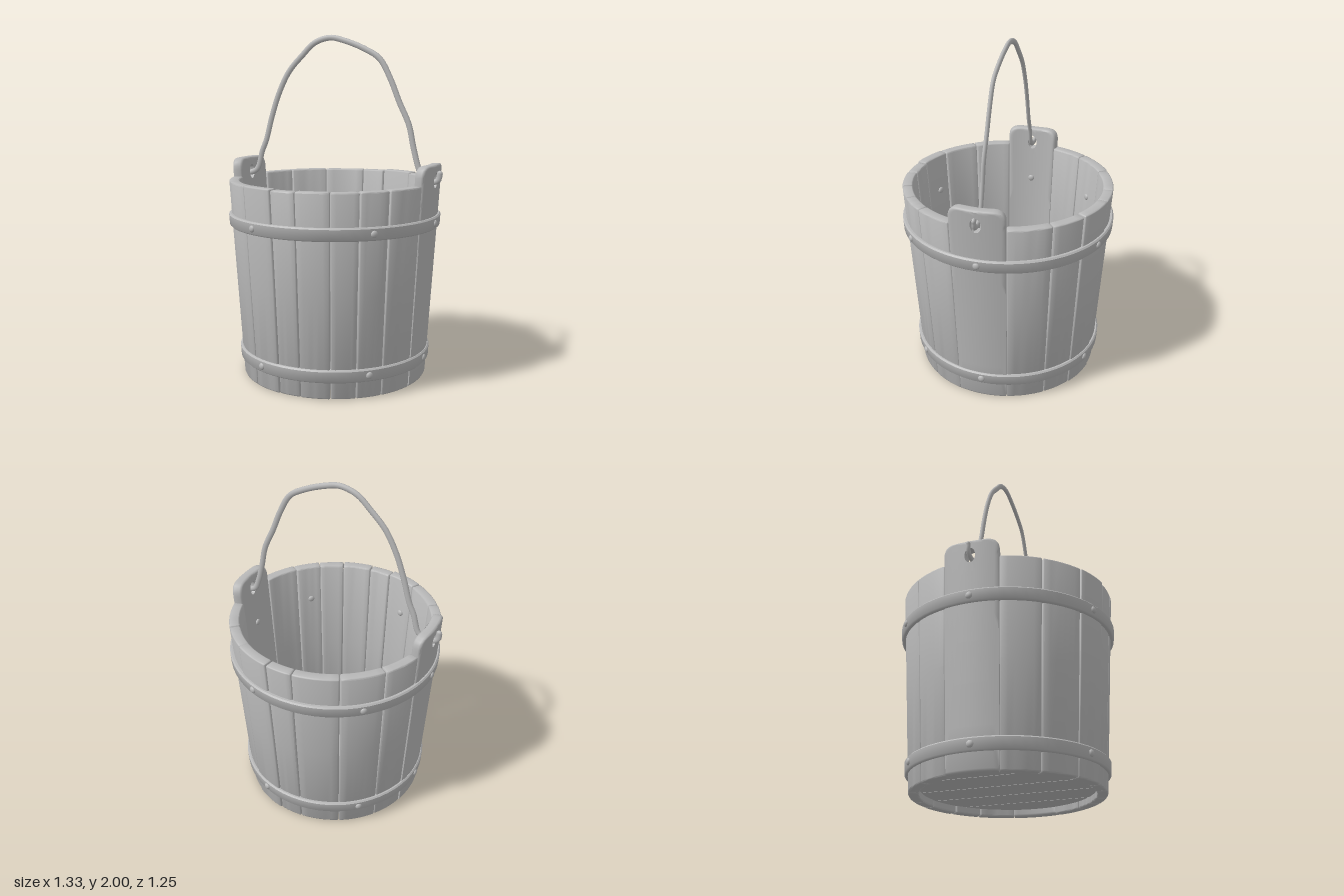
import * as THREE from 'three';
import { toCreasedNormals } from 'three/addons/utils/BufferGeometryUtils.js';

const WALL = 0.06;
const EAR_ANGLE = 0.266; // half the angle of an eared stave
const outerRadius = (y) => 0.545 + 0.0646 * y;
const rad = THREE.MathUtils.degToRad;

// Point on the tapered wall: angle from +x towards +z, height, offset outwards
const onWall = (angle, y, out) => {
  const r = outerRadius(y) + out;
  return [r * Math.cos(angle), y, r * Math.sin(angle)];
};

// Box with softened edges, bent around the wall
function staveGeometry(from, to, height, shift) {
  const b = 0.008, n = [8, 4, 3];
  const geo = new THREE.BoxGeometry(1, 1, 1, ...n);
  const size = [(to - from) * 0.58, height, WALL];
  const p = geo.attributes.position;
  for (let i = 0; i < p.count; i++) {
    const c = [p.getX(i), p.getY(i), p.getZ(i)];
    const edge = c.map((v) => (Math.abs(v) > 0.499 ? Math.sign(v) : 0));
    const len = Math.hypot(...edge);
    const [u, y, w] = c.map((v, k) =>
      THREE.MathUtils.clamp((v * n[k]) / (n[k] - 2), -0.5, 0.5) * (size[k] - 2 * b) + (b * edge[k]) / len);
    p.setXYZ(i, ...onWall((from + to) / 2 - u / 0.58, y + height / 2, w - WALL / 2 + shift));
  }
  return toCreasedNormals(geo, 0.9);
}

// Tall stave with a rounded top and an oval hole, made of rings from hole to outline
function earGeometry(mid) {
  const half = 0.16, top = 1.27, corner = 0.065, holeY = 1.18, b = 0.014;
  const outline = new THREE.Shape();
  outline.moveTo(-half, 0);
  outline.lineTo(half, 0);
  outline.lineTo(half, top - corner);
  outline.quadraticCurveTo(half, top, half - corner, top);
  outline.lineTo(-half + corner, top);
  outline.quadraticCurveTo(-half, top, -half, top - corner);
  outline.closePath();
  const rim = outline.getSpacedPoints(140).slice(0, 140);
  // [fraction from hole to outline, inset from outline, offset]
  const face = [[0, 0, 0], [0.2, 0, 0], [0.4, 0, 0], [0.6, 0, 0], [0.8, 0, 0],
    [1, b, 0], [1, b * 0.3, -b * 0.3], [1, 0, -b]];
  const section = [...face, ...face.map(([t, s, w]) => [t, s, -WALL - w]).reverse()];
  const pos = [], index = [];
  const m = section.length, count = rim.length;
  rim.forEach((q, i) => {
    const a = Math.atan2(q.y - holeY, q.x);
    const hx = 0.03 * Math.cos(a), hy = holeY + 0.043 * Math.sin(a);
    const len = Math.hypot(q.x - hx, q.y - hy);
    section.forEach(([t, inset, w], j) => {
      const k = t - inset / len;
      const u = hx + (q.x - hx) * k, y = hy + (q.y - hy) * k;
      pos.push(...onWall(mid - (u / half) * EAR_ANGLE, y, w + 0.004));
      const i2 = (i + 1) % count, j2 = (j + 1) % m;
      index.push(i * m + j, i * m + j2, i2 * m + j2, i * m + j, i2 * m + j2, i2 * m + j);
    });
  });
  const geo = new THREE.BufferGeometry();
  geo.setAttribute('position', new THREE.Float32BufferAttribute(pos, 3));
  geo.setIndex(index);
  return toCreasedNormals(geo, 0.9);
}

// One floor board: a slice of a disc between two x positions
function boardGeometry(x0, x1, radius, thickness) {
  const pts = [], steps = 12;
  const z = (x) => Math.sqrt(Math.max(0, radius * radius - x * x));
  for (let i = 0; i <= steps; i++) {
    const x = x0 + ((x1 - x0) * i) / steps;
    pts.push(new THREE.Vector2(x, -z(x)));
  }
  for (let i = steps; i >= 0; i--) {
    const x = x0 + ((x1 - x0) * i) / steps;
    pts.push(new THREE.Vector2(x, z(x) + 1e-4));
  }
  const geo = new THREE.ExtrudeGeometry(new THREE.Shape(pts), { depth: thickness, bevelEnabled: false });
  return geo.rotateX(-Math.PI / 2);
}

export function createModel() {
  const group = new THREE.Group();
  const grey = new THREE.MeshStandardMaterial({ color: 0xb8b8b8 });
  grey.name = 'plainGrey';
  const add = (name, geo, parent = group) => {
    const mesh = new THREE.Mesh(geo, grey);
    mesh.name = name;
    parent.add(mesh);
    return mesh;
  };

  // Wall staves of uneven width, between the two ears
  const staves = new THREE.Group();
  staves.name = 'staves';
  group.add(staves);
  const gap = 0.003;
  const runs = [[15, 37, 53, 68, 86, 100, 120, 143, 165], [195, 216, 240, 265, 280, 302, 321, 345]];
  runs.forEach((run) => {
    for (let i = 0; i + 1 < run.length; i++) {
      const wobble = Math.sin(run[i] * 7.3);
      add('stave', staveGeometry(rad(run[i]) + gap, rad(run[i + 1]) - gap, 1.16 + 0.004 * wobble, 0.003 * wobble), staves);
    }
  });
  add('leftEarStave', earGeometry(0), staves);
  add('rightEarStave', earGeometry(Math.PI), staves);

  // Floor boards
  const floor = new THREE.Group();
  floor.name = 'floor';
  group.add(floor);
  const cuts = [-0.493, -0.31, -0.095, 0.107, 0.31, 0.493];
  for (let i = 0; i < 5; i++) {
    add('floorBoard', boardGeometry(cuts[i] + 0.003, cuts[i + 1] - 0.003, 0.493, 0.05), floor).position.y = 0.04;
  }

  // Hoops, each with six rivets that show inside and outside
  const rivetAngles = [0, 46, 112, 180, 228, 290];
  [['lowerHoop', 0.137, 0.016], ['upperHoop', 0.935, 0.02]].forEach(([name, y, out]) => {
    const h = 0.037;
    const profile = [[-h, -0.02], [-h, out - 0.008], [-h + 0.008, out], [h - 0.008, out], [h, out - 0.008], [h, -0.02]]
      .map(([dy, o]) => new THREE.Vector2(outerRadius(y + dy) + o, y + dy));
    add(name, toCreasedNormals(new THREE.LatheGeometry(profile, 64), 0.8));
    const rivets = new THREE.Group();
    rivets.name = name + 'Rivets';
    group.add(rivets);
    rivetAngles.forEach((deg) => [out, -WALL].forEach((offset) => {
      const rivet = add('rivet', new THREE.SphereGeometry(0.02, 14, 10), rivets);
      rivet.position.set(...onWall(rad(deg), y, offset));
      rivet.rotation.y = -rad(deg);
      rivet.scale.x = 0.6;
    }));
  });

  // Bent wire handle with a hook at each end
  const path = [[-0.648, 1.235], [-0.643, 1.195], [-0.615, 1.172], [-0.565, 1.175], [-0.525, 1.2],
    [-0.49, 1.31], [-0.46, 1.38], [-0.42, 1.52], [-0.37, 1.66], [-0.3, 1.79], [-0.21, 1.885],
    [-0.13, 1.955], [-0.03, 1.983], [0.06, 1.965], [0.19, 1.915], [0.28, 1.86], [0.345, 1.75],
    [0.4, 1.62], [0.46, 1.49], [0.49, 1.36], [0.52, 1.25], [0.55, 1.185], [0.6, 1.168],
    [0.638, 1.182], [0.648, 1.22]].map(([x, y]) => new THREE.Vector3(x, y, 0));
  const handle = new THREE.Group();
  handle.name = 'handle';
  handle.scale.z = 0.7;
  group.add(handle);
  add('handleWire', new THREE.TubeGeometry(new THREE.CatmullRomCurve3(path), 140, 0.017, 10), handle);
  [path[0], path[path.length - 1]].forEach((p) => {
    add('hookTip', new THREE.SphereGeometry(0.017, 10, 8), handle).position.copy(p);
  });

  return group;
}
